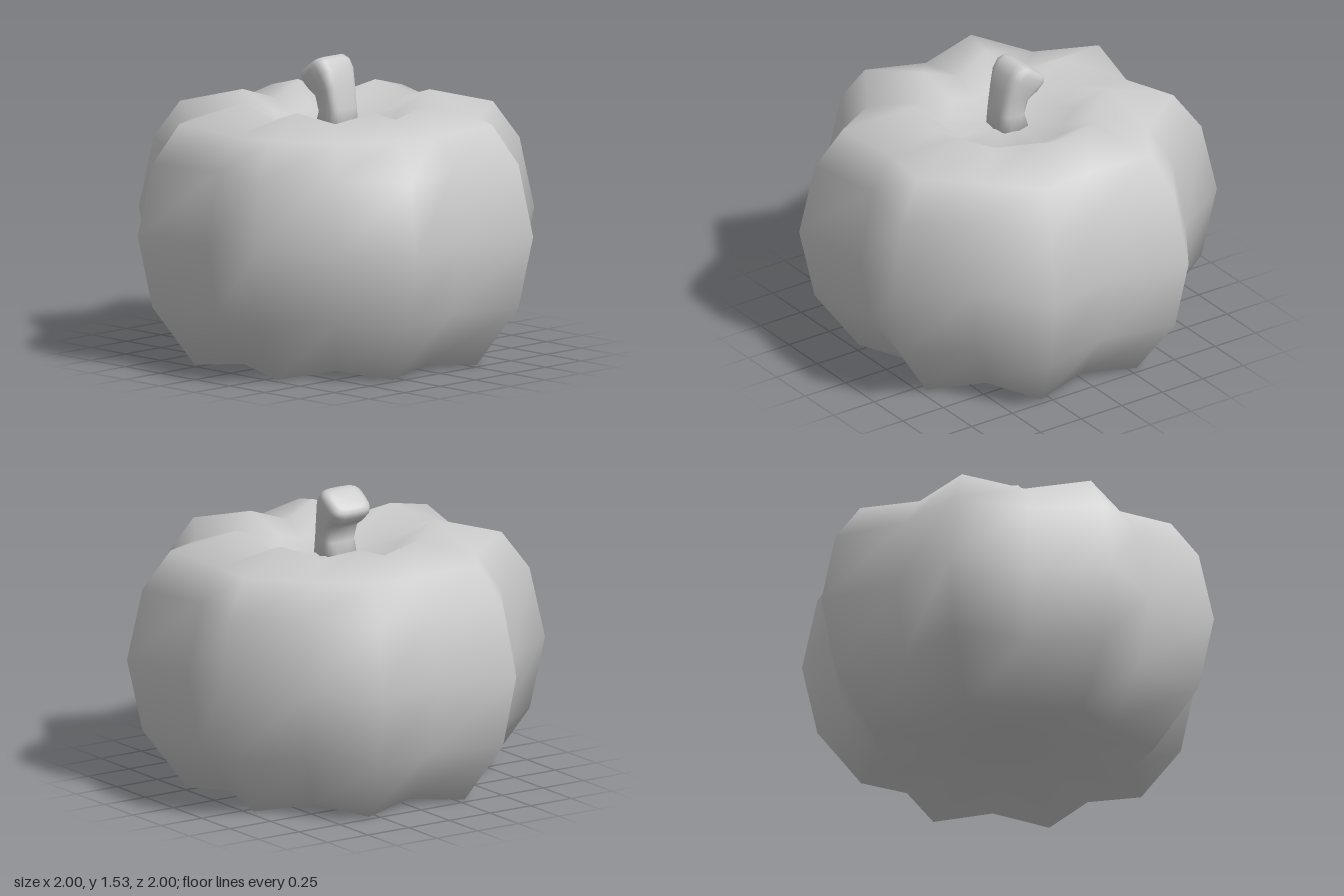
import * as THREE from 'three';

// Closed smooth skin over rings of equal length (ordered bottom to top) with a pole at each end.
function loft(rings, bottom, top) {
  const n = rings[0].length;
  const points = [...rings.flat(), bottom, top];
  const low = points.length - 2, high = points.length - 1;
  const last = (rings.length - 1) * n;
  const index = [];
  for (let i = 0; i < n; i++) {
    const k = (i + 1) % n;
    for (let j = 0; j < rings.length - 1; j++) {
      const a = j * n + i, b = j * n + k;
      index.push(a, b, b + n, a, b + n, a + n);
    }
    index.push(low, k, i, last + i, last + k, high);
  }
  const geometry = new THREE.BufferGeometry();
  geometry.setAttribute('position', new THREE.Float32BufferAttribute(points.flat(), 3));
  geometry.setIndex(index);
  geometry.computeVertexNormals();
  return geometry;
}

// Ribbed body: eight ridges alternating with eight valleys.
function bodyGeometry() {
  // ridge radius, ridge height, valley radius, valley height
  const profile = [
    [0.36, 0.08, 0.31, 0.10],
    [0.77, 0.00, 0.65, 0.035],
    [1.00, 0.31, 0.84, 0.31],
    [1.08, 0.68, 0.91, 0.68],
    [1.00, 1.045, 0.84, 1.045],
    [0.855, 1.24, 0.72, 1.21],
    [0.51, 1.325, 0.43, 1.26],
    [0.34, 1.22, 0.29, 1.19],
  ];
  const rings = profile.map(([ridgeR, ridgeY, valleyR, valleyY]) =>
    Array.from({ length: 16 }, (_, i) => {
      const a = (i / 16) * Math.PI * 2;
      const r = i % 2 ? ridgeR : valleyR;
      return [r * Math.cos(a), i % 2 ? ridgeY : valleyY, -r * Math.sin(a)];
    }));
  return loft(rings, [0, 0.18, 0], [0, 1.17, 0]);
}

// Stem: rounded-square sections that widen and lean backwards.
function stemGeometry() {
  // half width, front z, front y, back z, back y
  const sections = [
    [0.10, 0.095, 1.15, -0.09, 1.15],
    [0.092, 0.085, 1.27, -0.06, 1.25],
    [0.102, 0.062, 1.39, -0.075, 1.325],
    [0.117, 0.04, 1.475, -0.125, 1.36],
    [0.12, 0.01, 1.518, -0.163, 1.395],
    [0.112, -0.025, 1.531, -0.17, 1.425],
    [0.085, -0.06, 1.522, -0.155, 1.445],
  ];
  const soften = (v) => Math.sign(v) * Math.abs(v) ** 0.55;
  const rings = sections.map(([w, fz, fy, bz, by]) =>
    Array.from({ length: 24 }, (_, i) => {
      const a = (i / 24) * Math.PI * 2;
      const t = (1 + soften(Math.sin(a))) / 2;
      return [w * soften(Math.cos(a)), fy + (by - fy) * t, fz + (bz - fz) * t];
    }));
  return loft(rings, [0, 1.15, 0], [0, 1.487, -0.11]);
}

export function createModel() {
  const material = new THREE.MeshStandardMaterial({ color: 0xcccccc });
  const model = new THREE.Group();
  model.name = 'pumpkin';
  const parts = { body: bodyGeometry(), stem: stemGeometry() };
  for (const [name, geometry] of Object.entries(parts)) {
    const mesh = new THREE.Mesh(geometry, material);
    mesh.name = name;
    model.add(mesh);
  }
  return model;
}
